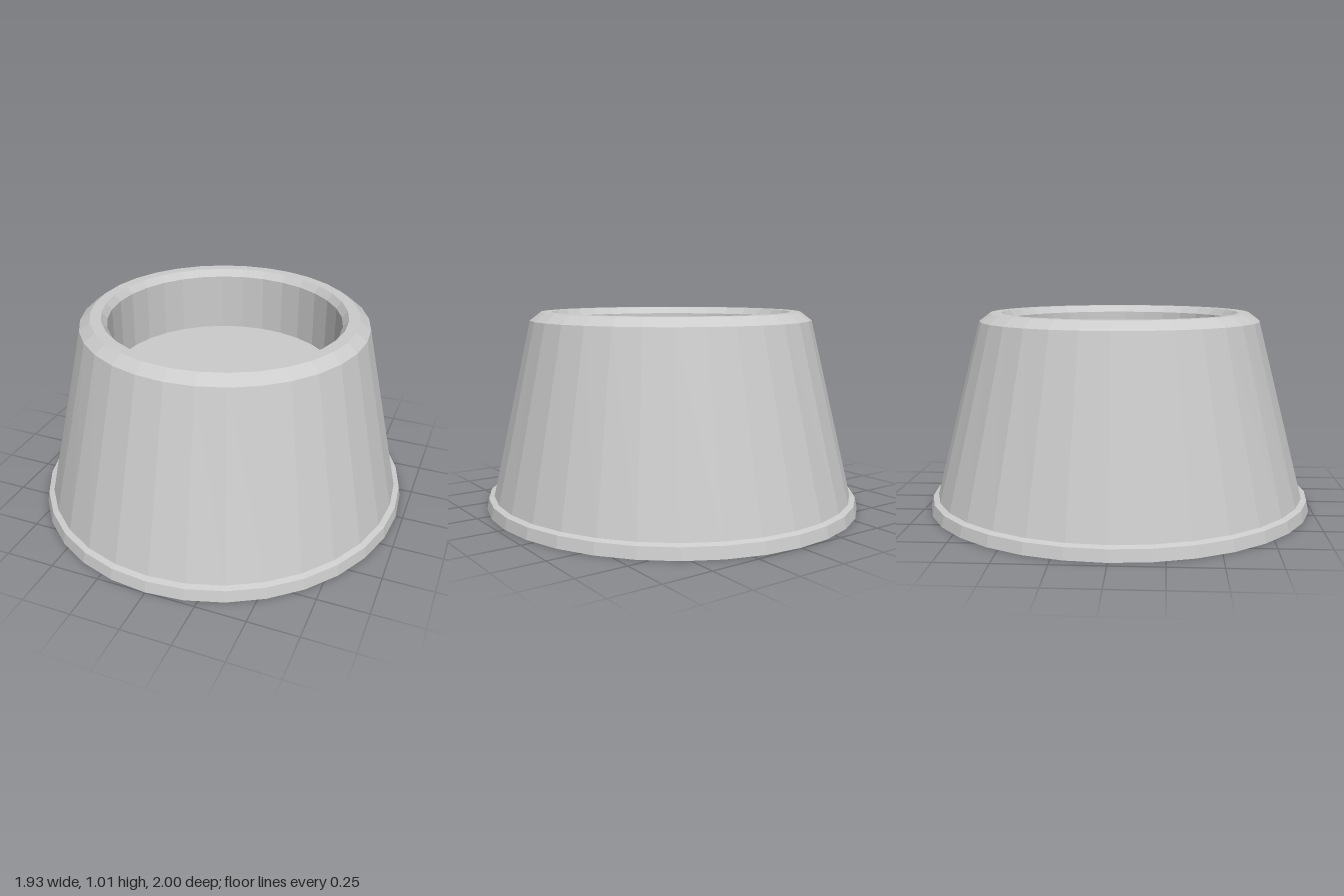
import * as THREE from 'three';

const SIDES = 32;
const material = new THREE.MeshStandardMaterial({ color: 0xcccccc, flatShading: true });

// Oval ring wall lofted through [radiusX, radiusZ, y] sections
function ovalWall(name, sections) {
  const geometry = new THREE.LatheGeometry(
    sections.map(([rx, , y]) => new THREE.Vector2(rx, y)), SIDES);
  const pos = geometry.attributes.position;
  for (let i = 0; i < pos.count; i++) {
    const [rx, rz] = sections[i % sections.length];
    pos.setZ(i, pos.getZ(i) * rz / rx);
  }
  geometry.computeVertexNormals();
  const mesh = new THREE.Mesh(geometry, material);
  mesh.name = name;
  return mesh;
}

// Flat oval disc facing up (1) or down (-1)
function ovalDisc(name, [rx, rz, y], facing) {
  const geometry = new THREE.CircleGeometry(1, SIDES);
  geometry.rotateX(-facing * Math.PI / 2);
  geometry.scale(rx, 1, rz);
  geometry.translate(0, y, 0);
  const mesh = new THREE.Mesh(geometry, material);
  mesh.name = name;
  return mesh;
}

export function createModel() {
  const group = new THREE.Group();
  group.name = 'taperedFoot';

  // Shared section ovals, from the ground up and down into the recess
  const ground = [0.965, 1.0, 0];
  const flangeTop = [0.955, 0.988, 0.057];
  const bodyBottom = [0.927, 0.96, 0.066];
  const shoulder = [0.73, 0.724, 0.968];
  const rimOuter = [0.676, 0.668, 1.01];
  const rimInner = [0.62, 0.612, 1.01];
  const lipBottom = [0.592, 0.583, 0.975];
  const floor = [0.592, 0.583, 0.67];

  group.add(
    ovalDisc('underside', ground, -1),
    ovalWall('baseFlange', [ground, flangeTop, bodyBottom]),
    ovalWall('taperedBody', [bodyBottom, shoulder]),
    ovalWall('bevelledRim', [shoulder, rimOuter, rimInner, lipBottom]),
    ovalWall('recessWall', [lipBottom, floor]),
    ovalDisc('recessFloor', floor, 1),
  );
  return group;
}
